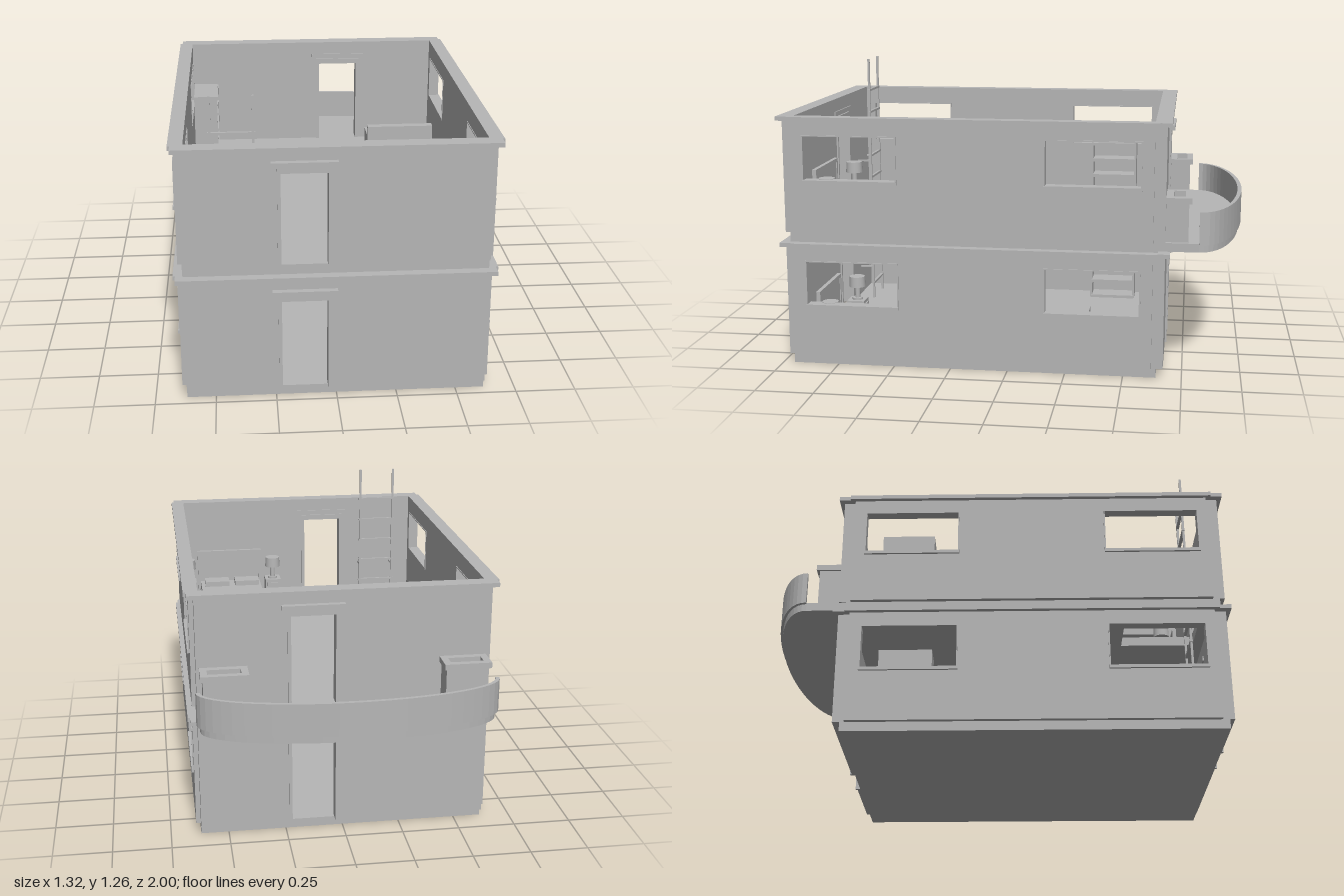
import * as THREE from 'three';

const grey = new THREE.MeshStandardMaterial({ color: 0xb6b6b6 });
grey.name = 'plain grey';

function add(parent, name, geometry) {
  const mesh = new THREE.Mesh(geometry, grey);
  mesh.name = name;
  parent.add(mesh);
  return mesh;
}

// Box given by its limits on each axis
function box(parent, name, x0, x1, y0, y1, z0, z1) {
  const g = new THREE.BoxGeometry(x1 - x0, y1 - y0, z1 - z0);
  g.translate((x0 + x1) / 2, (y0 + y1) / 2, (z0 + z1) / 2);
  return add(parent, name, g);
}

function group(parent, name) {
  const g = new THREE.Group();
  g.name = name;
  parent.add(g);
  return g;
}

const polygon = (pts) => new THREE.Shape(pts.map(([x, y]) => new THREE.Vector2(x, y)));
const rect = (x0, x1, y0, y1) => polygon([[x0, y0], [x1, y0], [x1, y1], [x0, y1]]);
const extrude = (shape, depth) =>
  new THREE.ExtrudeGeometry(shape, { depth, bevelEnabled: false, curveSegments: 16 });

// Shape drawn as (x, -z), raised from y0 to y1
function flat(parent, name, shape, y0, y1) {
  return add(parent, name, extrude(shape, y1 - y0).rotateX(-Math.PI / 2).translate(0, y0, 0));
}

// Shape drawn as (z, y), spanning x0 to x1
function sideways(parent, name, shape, x0, x1) {
  return add(parent, name, extrude(shape, x1 - x0).rotateY(-Math.PI / 2).translate(x1, 0, 0));
}

// End wall with a doorway, door frame and lintel; dir is the outward z direction
function endWall(parent, name, dir, doorX, z) {
  const g = group(parent, name);
  const l = doorX - 0.094, r = doorX + 0.094;
  const span = (a, b) => (dir > 0 ? [z + a, z + b] : [z - b, z - a]);
  const wall = polygon([[-0.62, 0], [l, 0], [l, 0.4], [r, 0.4], [r, 0], [0.62, 0], [0.62, 0.49], [-0.62, 0.49]]);
  add(g, 'wall', extrude(wall, 0.05).translate(0, 0, span(0, 0.05)[0]));
  const frame = polygon([[l - 0.014, 0], [l, 0], [l, 0.398], [r, 0.398], [r, 0],
    [r + 0.014, 0], [r + 0.014, 0.423], [l - 0.014, 0.423]]);
  add(g, 'doorFrame', extrude(frame, 0.066).translate(0, 0, span(-0.008, 0.058)[0]));
  box(g, 'doorLintel', doorX - 0.132, doorX + 0.132, 0.426, 0.448, ...span(-0.006, 0.076));
  box(g, 'wallCap', -0.65, 0.65, 0.49, 0.508, ...span(0, 0.07));
}

// Side wall with two framed windows
function sideWall(parent, name, s) {
  const g = group(parent, name);
  const span = (a, b) => (s > 0 ? [a, b] : [-b, -a]);
  const wall = rect(-0.62, 0.92, 0, 0.49);
  for (const [z0, z1] of [[-0.565, -0.165], [0.475, 0.875]]) {
    wall.holes.push(rect(z0, z1, 0.235, 0.425));
    const frame = rect(z0 - 0.006, z1 + 0.006, 0.229, 0.429);
    frame.holes.push(rect(z0, z1, 0.235, 0.424));
    sideways(g, 'windowFrame', frame, ...span(0.597, 0.645));
    box(g, 'windowSill', ...span(0.64, 0.65), 0.221, 0.235, z0 - 0.006, z1 + 0.006);
  }
  sideways(g, 'wall', wall, ...span(0.6, 0.64));
  box(g, 'wallCap', ...span(0.6, 0.66), 0.49, 0.508, -0.64, 0.94);
}

function bed(parent) {
  const g = group(parent, 'bed');
  box(g, 'bedBase', 0.21, 0.53, 0, 0.06, 0.44, 0.855);
  box(g, 'mattress', 0.215, 0.525, 0.06, 0.1, 0.445, 0.85);
  box(g, 'blanket', 0.208, 0.532, 0.06, 0.107, 0.437, 0.6);
  box(g, 'blanketFold', 0.207, 0.533, 0.06, 0.112, 0.49, 0.6);
  for (const x of [0.225, 0.38]) box(g, 'pillow', x, x + 0.125, 0.1, 0.125, 0.745, 0.825);
  box(g, 'headboard', 0.205, 0.535, 0, 0.25, 0.855, 0.863);
  box(g, 'headboardRail', 0.203, 0.537, 0.245, 0.262, 0.851, 0.869);
  for (const x of [0.203, 0.523]) box(g, 'headboardPost', x, x + 0.014, 0, 0.25, 0.851, 0.869);
}

function nightstand(parent, x) {
  const g = group(parent, 'nightstand');
  box(g, 'cabinet', x - 0.04, x + 0.04, 0, 0.125, 0.747, 0.83);
  box(g, 'drawer', x - 0.03, x + 0.03, 0.07, 0.11, 0.742, 0.747);
  const lamp = (name, r0, r1, y0, y1) =>
    add(g, name, new THREE.CylinderGeometry(r1, r0, y1 - y0, 20).translate(x, (y0 + y1) / 2, 0.788));
  lamp('lampFoot', 0.025, 0.025, 0.125, 0.135);
  lamp('lampStem', 0.012, 0.012, 0.135, 0.19);
  lamp('lampShade', 0.038, 0.036, 0.188, 0.237);
}

function sofa(parent) {
  const g = group(parent, 'sofa');
  box(g, 'seat', 0.255, 0.575, 0, 0.07, -0.44, -0.33);
  box(g, 'backrest', 0.255, 0.575, 0, 0.16, -0.33, -0.29);
  for (const x of [0.255, 0.547]) box(g, 'armrest', x, x + 0.028, 0.07, 0.11, -0.44, -0.33);
  for (const x of [0.29, 0.425]) box(g, 'cushion', x, x + 0.108, 0.07, 0.09, -0.432, -0.332);
}

function bookshelf(parent) {
  const g = group(parent, 'bookshelf');
  box(g, 'backPanel', -0.59, -0.58, 0, 0.335, -0.495, -0.27);
  for (const z of [-0.495, -0.28]) box(g, 'sidePanel', -0.59, -0.48, 0, 0.335, z, z + 0.01);
  for (let i = 0; i < 5; i++) {
    const y = i * 0.08;
    box(g, 'shelf', -0.585, -0.475, y, y + 0.014, -0.49, -0.275);
  }
  box(g, 'topPanel', -0.59, -0.48, 0.32, 0.337, -0.495, -0.27);
}

function storey(parent, name, y) {
  const g = group(parent, name);
  g.position.y = y;
  endWall(g, 'frontWall', 1, -0.13, 0.92);
  endWall(g, 'backWall', -1, 0.13, -0.62);
  sideWall(g, 'leftWall', 1);
  sideWall(g, 'rightWall', -1);
  bed(g);
  nightstand(g, 0.15);
  nightstand(g, 0.59);
  sofa(g);
  bookshelf(g);
}

function ladder(parent) {
  const g = group(parent, 'ladder');
  for (const x of [-0.496, -0.325]) {
    box(g, 'ladderRail', x - 0.005, x + 0.005, 0.04, 1.265, 0.829, 0.839);
    for (const y of [0.2, 0.75]) box(g, 'wallBracket', x - 0.004, x + 0.004, y, y + 0.008, 0.835, 0.9);
  }
  for (let y = 0.12; y < 1.15; y += 0.11) box(g, 'rung', -0.505, -0.316, y - 0.005, y + 0.005, 0.828, 0.84);
}

// Half ellipse bulging to the back, as (x, -z) points from right to left
function arc(rx, rz, n = 28) {
  return Array.from({ length: n + 1 }, (_, i) => {
    const a = (i / n) * Math.PI;
    return [rx * Math.cos(a), 0.81 + rz * Math.sin(a)];
  });
}

function balcony(parent) {
  const g = group(parent, 'balcony');
  flat(g, 'balconyFloor', polygon([[-0.615, 0.64], [0.615, 0.64], ...arc(0.615, 0.178)]), 0.553, 0.59);
  flat(g, 'parapet', polygon([...arc(0.63, 0.19), ...arc(0.612, 0.172).reverse()]), 0.585, 0.727);
  // Planter boxes beside the back wall
  for (const s of [-1, 1]) {
    const p = group(g, 'planter');
    p.position.set(s * 0.507, 0.59, -0.72);
    box(p, 'planterBody', -0.09, 0.09, 0, 0.165, -0.045, 0.05);
    const rim = rect(-0.1, 0.1, -0.05, 0.058);
    rim.holes.push(rect(-0.07, 0.07, -0.02, 0.03));
    flat(p, 'planterRim', rim, 0.165, 0.19);
  }
}

export function createModel() {
  const house = new THREE.Group();
  house.name = 'house';
  box(house, 'groundFloor', -0.62, 0.62, 0, 0.04, -0.64, 0.95);
  // Upper floor with an opening for the ladder
  const floor = rect(-0.62, 0.62, -0.95, 0.64);
  floor.holes.push(rect(-0.555, -0.25, -0.875, -0.555));
  flat(house, 'upperFloor', floor, 0.548, 0.59);
  storey(house, 'lowerStorey', 0.04);
  storey(house, 'upperStorey', 0.59);
  ladder(house);
  balcony(house);
  return house;
}
